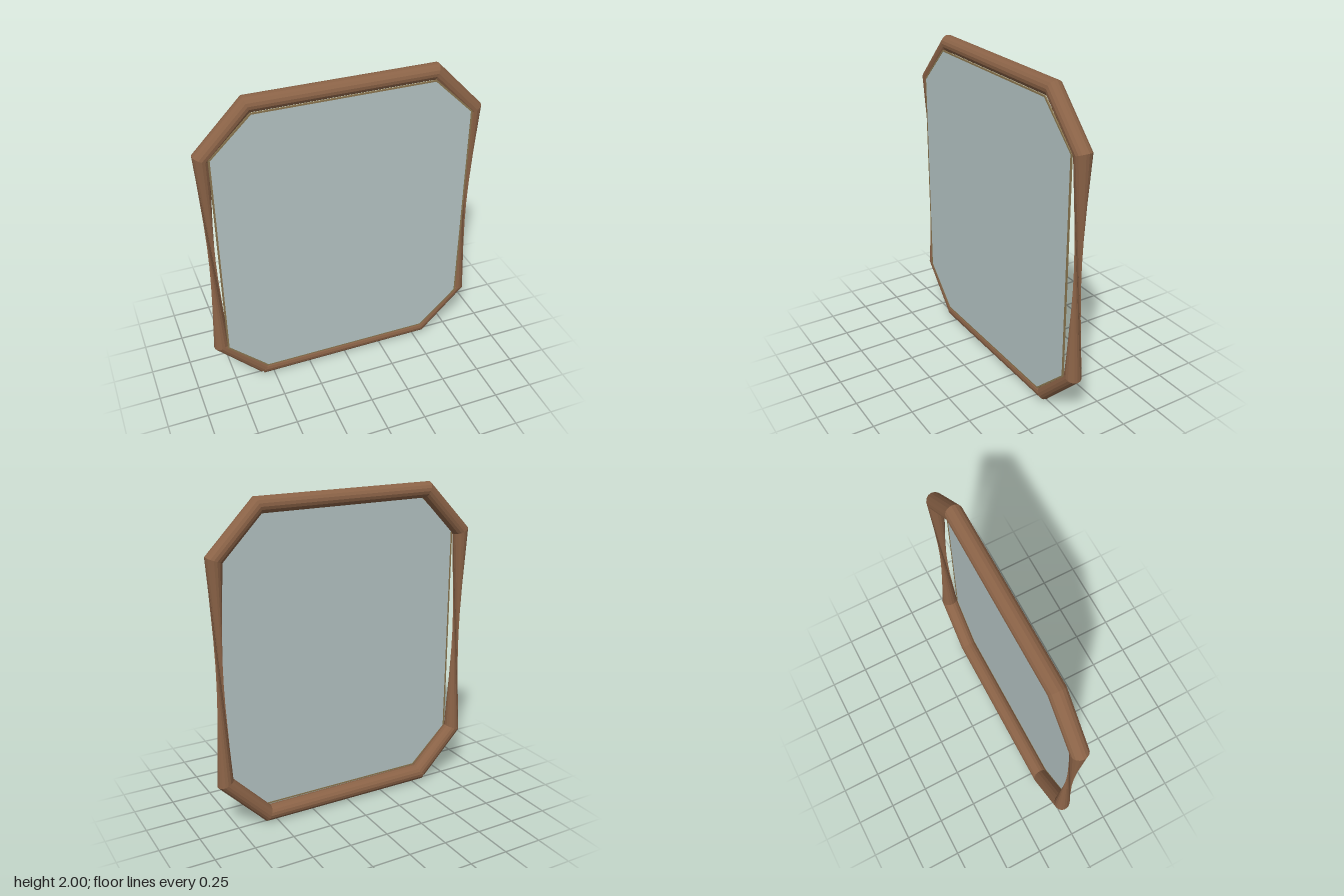
import * as THREE from 'three';

const SIDES = 16, R = 0.052;

// Octagon outline with cut corners: half sizes w, h and the inner ends of the straight runs
function octagon(w, h, cx, cy, Type = THREE.Shape) {
  const pts = [[cx, -h], [w, -cy], [w, cy], [cx, h], [-cx, h], [-w, cy], [-w, -cy], [-cx, -h]];
  return new Type(pts.map(([x, y]) => new THREE.Vector2(x, y + 1)));
}

// Round bar swept along the outline; twist adds a turn (in facets) to chosen runs
function sweptBar(path, twists) {
  const positions = [], index = [];
  const pts = path.map(([x, y]) => new THREE.Vector2(x, y));
  const dirs = pts.slice(1).map((p, i) => p.clone().sub(pts[i]).normalize());
  const last = pts.length - 1;
  let turn = 0;
  pts.forEach((p, i) => {
    const t = (dirs[i - 1] || dirs[0]).clone().add(dirs[i] || dirs[last - 1]).normalize();
    if (i > 0) turn += twists[i - 1] || 0;
    for (let k = 0; k < SIDES; k++) {
      const a = ((k + turn) / SIDES) * Math.PI * 2;
      const n = Math.cos(a) * R;
      positions.push(p.x + t.y * n, p.y - t.x * n, Math.sin(a) * R);
    }
  });
  for (let i = 0; i < last; i++) {
    for (let k = 0; k < SIDES; k++) {
      const a = i * SIDES + k, b = i * SIDES + (k + 1) % SIDES;
      index.push(a, a + SIDES, b, b, a + SIDES, b + SIDES);
    }
  }
  // End caps
  const end = last * SIDES;
  for (let k = 1; k < SIDES - 1; k++) {
    index.push(0, k, k + 1, end, end + k + 1, end + k);
  }
  const g = new THREE.BufferGeometry();
  g.setAttribute('position', new THREE.Float32BufferAttribute(positions, 3));
  g.setIndex(index);
  g.computeVertexNormals();
  return g;
}

export function createModel() {
  const model = new THREE.Group();
  const add = (name, geometry, color, flatShading = false) => {
    const material = new THREE.MeshStandardMaterial({ color, flatShading, side: THREE.DoubleSide });
    const mesh = new THREE.Mesh(geometry, material);
    mesh.name = name;
    model.add(mesh);
    return mesh;
  };

  // Wooden frame: one bar around the octagon, both upright runs twisted to a narrow waist,
  // with an open joint at the lower corner
  const path = [
    [-0.567, 0.05], [0.554, 0.05], [0.821, 0.325], [0.821, 1.675],
    [0.554, 1.95], [-0.554, 1.95], [-0.821, 1.675], [-0.821, 0.325], [-0.558, 0.054],
  ];
  add('frame', sweptBar(path, { 2: 6.8, 6: 6.8 }), 0x8b6347, true);

  // Thin rim around the pane
  const rim = octagon(0.793, 0.917, 0.546, 0.679);
  rim.holes.push(octagon(0.783, 0.908, 0.541, 0.675, THREE.Path));
  add('rim', new THREE.ExtrudeGeometry(rim, { depth: 0.008, bevelEnabled: false }), 0x8a7650).position.z = 0.044;

  // Mirror pane, set flush with the front of the frame
  const pane = octagon(0.784, 0.909, 0.541, 0.675);
  add('pane', new THREE.ExtrudeGeometry(pane, { depth: 0.005, bevelEnabled: false }), 0xb5c4c4).position.z = 0.046;

  return model;
}
